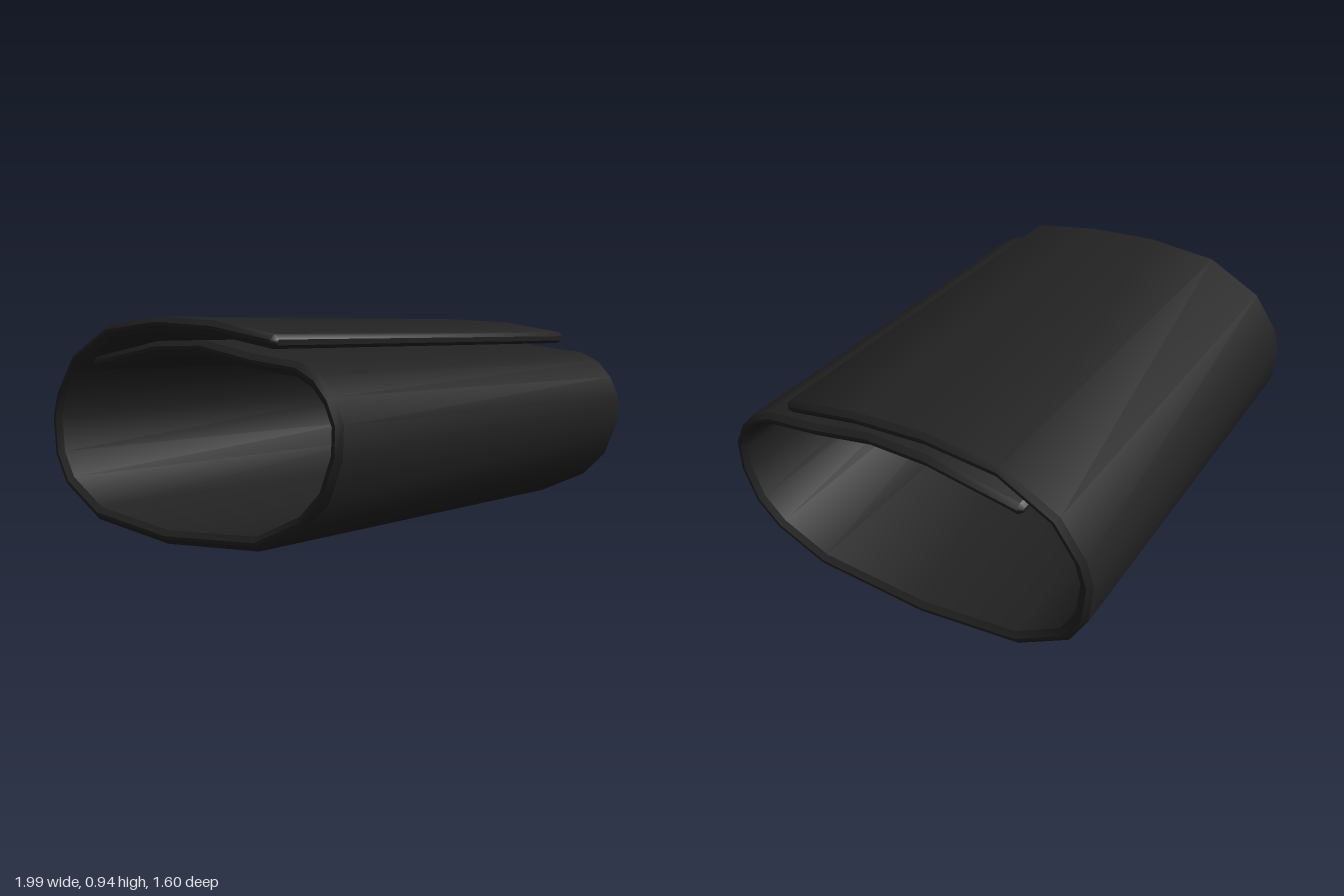
import * as THREE from 'three';
import { toCreasedNormals } from 'three/addons/utils/BufferGeometryUtils.js';

const HALF_WIDTH = 0.978, HALF_THICK = 0.026, BEVEL = 0.02, TILT = 0.0455;

// Centreline of the curled band as [z, y], from the inner flap round to the outer flap
const PATH = [
  [-0.525, 0.655], [-0.13, 0.74], [0.12, 0.755], [0.38, 0.72], [0.595, 0.705],
  [0.675, 0.67], [0.735, 0.61], [0.775, 0.53], [0.775, 0.425], [0.725, 0.285],
  [0.63, 0.185], [0.42, 0.08], [-0.06, 0.026], [-0.48, 0.055], [-0.68, 0.16],
  [-0.75, 0.27], [-0.77, 0.42], [-0.745, 0.515], [-0.65, 0.66], [-0.43, 0.79],
  [-0.13, 0.832], [0.18, 0.828], [0.495, 0.79],
].map(([z, y]) => new THREE.Vector2(z, y));

// Chamfered cross-section of the band: width along x, thickness along n
function section(halfWidth, halfThick, bevel) {
  const w = halfWidth, h = halfThick, c = halfThick - bevel;
  return [
    [w, -c], [w, c], [w - bevel, h], [-w + bevel, h],
    [-w, c], [-w, -c], [-w + bevel, -h], [w - bevel, -h],
  ];
}

function bandGeometry() {
  const last = PATH.length - 1;
  const direction = (i) => PATH[i + 1].clone().sub(PATH[i]).normalize();
  const full = section(HALF_WIDTH, HALF_THICK, BEVEL);
  const tip = section(HALF_WIDTH - BEVEL, HALF_THICK - BEVEL * 0.8, 0.004);
  const rings = [];
  const addRing = (p, t, stretch, shape) => rings.push(
    shape.map(([x, n]) => [x, p.y + t.x * n * stretch, p.x - t.y * n * stretch]));

  // Mitred rings along the path, with a chamfered tip at both ends
  for (let i = 0; i <= last; i++) {
    if (i === 0 || i === last) {
      const t = direction(i === 0 ? 0 : last - 1);
      const inset = PATH[i].clone().addScaledVector(t, i === 0 ? BEVEL : -BEVEL);
      if (i === 0) addRing(PATH[i], t, 1, tip);
      addRing(inset, t, 1, full);
      if (i === last) addRing(PATH[i], t, 1, tip);
    } else {
      const a = direction(i - 1);
      const t = a.clone().add(direction(i)).normalize();
      addRing(PATH[i], t, 1 / t.dot(a), full);
    }
  }

  const sides = full.length, index = [];
  for (let r = 0; r < rings.length - 1; r++) {
    for (let k = 0; k < sides; k++) {
      const a = r * sides + k, b = r * sides + (k + 1) % sides;
      index.push(a, b, b + sides, a, b + sides, a + sides);
    }
  }
  // Flat caps on the flap tips
  const end = (rings.length - 1) * sides;
  for (let k = 1; k < sides - 1; k++) {
    index.push(0, k + 1, k, end, end + k, end + k + 1);
  }

  const geometry = new THREE.BufferGeometry();
  geometry.setAttribute('position', new THREE.Float32BufferAttribute(rings.flat(2), 3));
  geometry.setIndex(index);
  return toCreasedNormals(geometry, 0.7);
}

export function createModel() {
  const charcoal = new THREE.MeshStandardMaterial({ color: 0x222222 });
  charcoal.name = 'charcoal';

  const band = new THREE.Mesh(bandGeometry(), charcoal);
  band.name = 'curledBand';
  // The band leans slightly down towards +x
  band.rotation.z = -TILT;
  band.position.set(-0.0215, HALF_WIDTH * Math.sin(TILT), 0);

  const model = new THREE.Group();
  model.name = 'overlappingCuff';
  model.add(band);
  return model;
}
